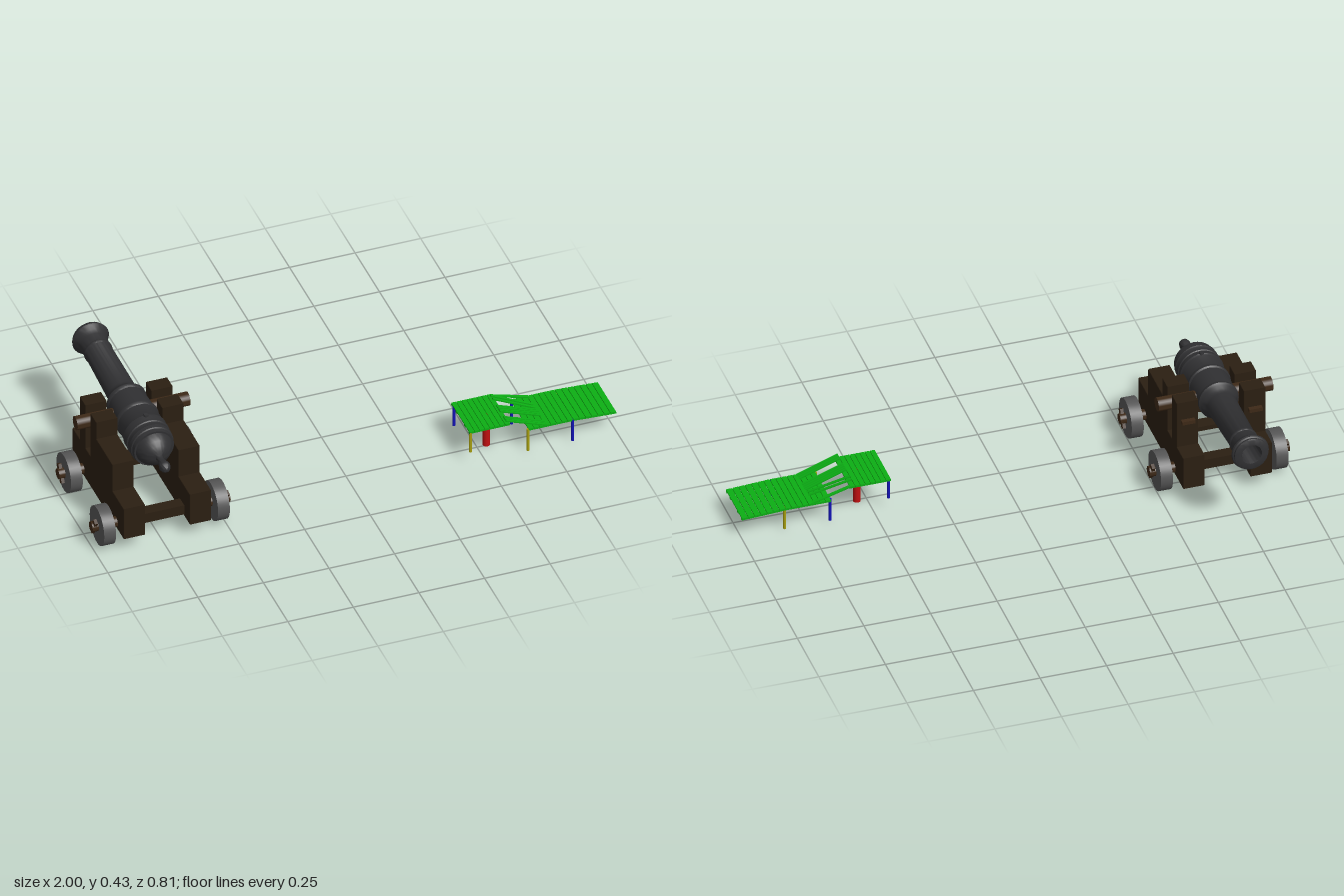
import * as THREE from 'three';
import { toCreasedNormals } from 'three/addons/utils/BufferGeometryUtils.js';

const mat = (color) => new THREE.MeshStandardMaterial({ color });
const wood = mat(0x2b1f12), rodWood = mat(0x3d2917), iron = mat(0x303032), wheelGrey = mat(0x555555);
const green = mat(0x0cae14), red = mat(0xc01010), blue = mat(0x1212b8), yellow = mat(0xa8a010);
iron.side = THREE.DoubleSide;

function add(parent, name, geometry, material, x = 0, y = 0, z = 0) {
  const mesh = new THREE.Mesh(geometry, material);
  mesh.name = name;
  mesh.position.set(x, y, z);
  parent.add(mesh);
  return mesh;
}

// Cylinder lying along x
const rodX = (r, length, sides = 20) =>
  toCreasedNormals(new THREE.CylinderGeometry(r, r, length, sides).rotateZ(Math.PI / 2), 0.6);

// Box plank between two points in the xy plane
function slopedPlank(parent, name, x0, y0, x1, y1, z, width, twist = 0) {
  const length = Math.hypot(x1 - x0, y1 - y0);
  const m = add(parent, name, new THREE.BoxGeometry(length, 0.005, width), green,
    (x0 + x1) / 2, (y0 + y1) / 2, z);
  m.rotation.set(0, twist, Math.atan2(y1 - y0, x1 - x0), 'YZX');
  return m;
}

function createCarriage() {
  const g = new THREE.Group();
  g.name = 'carriage';

  // Stepped side cheeks, drawn as (z, y) and extruded across x
  const outline = [[0.4, 0.06], [0.4, 0.187], [0.284, 0.187], [0.284, 0.304], [0.118, 0.304], [0.118, 0.377],
    [0.065, 0.377], [0.065, 0.187], [0.007, 0.187], [0.007, 0.377], [-0.044, 0.377], [-0.044, 0.187],
    [-0.119, 0.187], [-0.119, 0.06]];
  const shape = new THREE.Shape(outline.map(([z, y]) => new THREE.Vector2(z, y)));
  const cheek = new THREE.ExtrudeGeometry(shape, {
    depth: 0.076, bevelEnabled: true, bevelThickness: 0.003, bevelSize: 0.003, bevelSegments: 2,
  });
  cheek.translate(0, 0, -0.038).rotateY(-Math.PI / 2);

  for (const s of [-1, 1]) {
    add(g, 'cheek', cheek, wood, s * 0.126);
    add(g, 'trunnionRest', new THREE.BoxGeometry(0.05, 0.014, 0.13), rodWood, s * 0.126, 0.299, 0.001);
  }
  add(g, 'transom', new THREE.BoxGeometry(0.18, 0.018, 0.05), wood, 0, 0.247, -0.018);

  // Axles, wheels and linchpins
  const disc = rodX(0.075, 0.045, 32);
  for (const [z, tilt] of [[0.325, -0.5], [-0.016, 0.5]]) {
    add(g, 'axle', rodX(0.02, 0.526), rodWood, 0, 0.083, z);
    add(g, 'axleBeam', new THREE.BoxGeometry(0.18, 0.04, 0.045), wood, 0, 0.085, z);
    for (const s of [-1, 1]) {
      add(g, 'wheel', disc, wheelGrey, s * 0.217, 0.082, z);
      const pin = add(g, 'linchpin', new THREE.BoxGeometry(0.012, 0.072, 0.02), rodWood, s * 0.251, 0.083, z);
      pin.rotation.x = -tilt;
    }
  }
  return g;
}

function createBarrel() {
  const g = new THREE.Group();
  g.name = 'barrel';
  // Radius and distance along the axis, from knob to muzzle and back into the bore
  const profile = [
    [0, -0.4], [0.011, -0.397], [0.018, -0.388], [0.021, -0.376], [0.018, -0.362], [0.013, -0.348],
    [0.011, -0.334], [0.014, -0.323], [0.026, -0.318], [0.042, -0.309], [0.055, -0.295], [0.064, -0.28],
    [0.069, -0.267], [0.076, -0.267], [0.077, -0.25], [0.081, -0.247], [0.082, -0.232], [0.079, -0.228],
    [0.079, -0.212], [0.083, -0.209], [0.083, -0.2], [0.08, -0.197], [0.083, -0.175], [0.079, -0.17],
    [0.077, -0.105], [0.081, -0.1], [0.081, -0.09], [0.076, -0.085], [0.071, 0.005], [0.075, 0.01],
    [0.075, 0.02], [0.068, 0.027], [0.062, 0.04], [0.056, 0.048], [0.055, 0.06], [0.05, 0.3],
    [0.053, 0.304], [0.053, 0.312], [0.05, 0.316], [0.052, 0.35], [0.058, 0.367], [0.067, 0.38],
    [0.07, 0.386], [0.068, 0.392], [0.063, 0.395], [0.063, 0.402], [0.057, 0.405], [0.038, 0.405],
    [0.035, 0.4], [0.035, 0.15], [0, 0.15],
  ].map(([r, t]) => new THREE.Vector2(r, t));
  const tube = new THREE.LatheGeometry(profile, 40).rotateX(-Math.PI / 2);
  add(g, 'gunTube', toCreasedNormals(tube, 0.7), iron);
  add(g, 'vent', new THREE.CylinderGeometry(0.008, 0.01, 0.012, 12), iron, 0, 0.082, 0.178);
  g.position.y = 0.339;
  g.rotation.x = 0.058;
  return g;
}

function createDock() {
  const g = new THREE.Group();
  g.name = 'dock';
  const zMid = 0.24, depth = 0.19;

  // Cross planks laid on two stringers, along a slope from (x0, y0) to (x1, y1)
  function deck(x0, y0, x1, y1, count) {
    const pitch = (x1 - x0) / count, angle = Math.atan2(y1 - y0, x1 - x0);
    for (let i = 0; i < count; i++) {
      const t = (i + 0.5) / count;
      const p = add(g, 'deckPlank', new THREE.BoxGeometry(pitch * 0.9, 0.005, depth), green,
        x0 + (x1 - x0) * t, y0 + (y1 - y0) * t, zMid);
      p.rotation.z = angle;
    }
    for (const z of [0.152, 0.198, 0.285, 0.328])
      slopedPlank(g, 'stringer', x0, y0 - 0.004, x1, y1 - 0.004, z, 0.012);
  }
  deck(0.44, 0.138, 0.595, 0.138, 8);
  deck(0.665, 0.095, 0.835, 0.095, 8);
  deck(0.835, 0.095, 1, 0.086, 7);

  // Broken planks sloping between the two levels
  for (const z of [0.331, 0.32, 0.308, 0.27, 0.259, 0.247, 0.236])
    slopedPlank(g, 'rampPlank', 0.58, 0.153, 0.735, 0.096, z, 0.009);
  for (const z of [0.205, 0.186])
    slopedPlank(g, 'loosePlank', 0.58, 0.153, 0.735, 0.096, z, 0.01, -0.2);
  slopedPlank(g, 'rampEdge', 0.59, 0.138, 0.735, 0.096, 0.152, 0.012);

  // Posts
  const posts = [
    [0.445, 0.33, 0.05, 0.136, yellow], [0.445, 0.16, 0.05, 0.136, blue],
    [0.665, 0.33, 0, 0.094, yellow], [0.665, 0.16, 0, 0.094, blue],
    [0.835, 0.33, 0, 0.094, blue], [0.835, 0.16, 0, 0.094, yellow],
  ];
  for (const [x, z, y0, y1, material] of posts)
    add(g, 'post', new THREE.CylinderGeometry(0.0055, 0.0055, y1 - y0, 12), material, x, (y0 + y1) / 2, z);
  add(g, 'mainPost', new THREE.CylinderGeometry(0.0135, 0.0135, 0.137, 20), red, 0.537, 0.0685, 0.245);
  return g;
}

export function createModel() {
  const model = new THREE.Group();
  model.name = 'cannonAndDock';
  const cannon = new THREE.Group();
  cannon.name = 'cannon';
  cannon.add(createCarriage(), createBarrel());
  add(cannon, 'trunnion', rodX(0.026, 0.43, 24), rodWood, 0, 0.331, 0.036);
  cannon.position.x = -0.737;
  model.add(cannon, createDock());
  return model;
}
